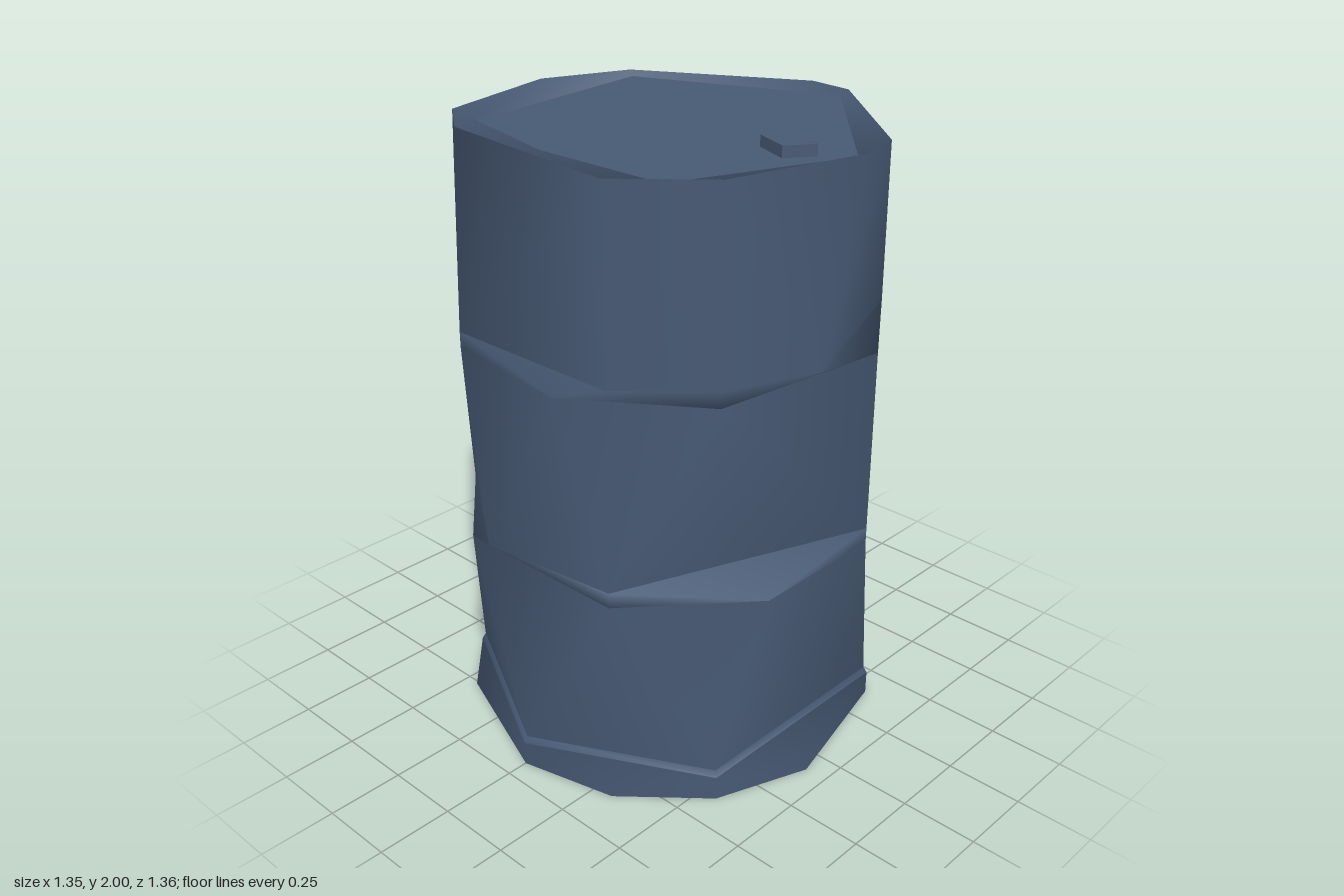
import * as THREE from 'three';

const SIDES = 26;
const STEP = (Math.PI * 2) / SIDES;

// A ring keeps only some of the 26 corners of a round section
const ring = (y, r, corners) => ({ y, r, corners });

// Triangle band zipping two rings together, always along the shorter diagonal;
// shade = [outward, up] sets soft round normals
function band(low, high, shade) {
  const pos = [], nor = [], index = [];
  for (const { y, r, corners } of [low, high]) {
    for (const k of corners) {
      const s = Math.sin(k * STEP), c = Math.cos(k * STEP);
      pos.push(r * s, y, r * c);
      if (shade) {
        const n = new THREE.Vector3(s * shade[0], shade[1], c * shade[0]).normalize();
        nor.push(n.x, n.y, n.z);
      }
    }
  }
  const a = low.corners, b = high.corners;
  const na = a.length, nb = b.length;
  const angle = (list, i) => list[i % list.length] + (i >= list.length ? SIDES : 0);
  let i = 0, j = 0;
  while (i < na || j < nb) {
    const midLow = angle(a, i) + angle(a, i + 1);
    const midHigh = angle(b, j) + angle(b, j + 1);
    const p = i % na, q = na + (j % nb);
    if (j === nb || (i < na && midLow <= midHigh)) {
      i++;
      if (low.r > 0) index.push(p, i % na, q);
    } else {
      j++;
      if (high.r > 0) index.push(p, na + (j % nb), q);
    }
  }
  const g = new THREE.BufferGeometry();
  g.setAttribute('position', new THREE.Float32BufferAttribute(pos, 3));
  g.setIndex(index);
  if (shade) g.setAttribute('normal', new THREE.Float32BufferAttribute(nor, 3));
  else g.computeVertexNormals();
  return g;
}

export function createModel() {
  const group = new THREE.Group();
  const steel = new THREE.MeshStandardMaterial({ color: 0x475974, side: THREE.DoubleSide });
  steel.name = 'blue grey steel';

  const add = (name, geometry) => {
    const mesh = new THREE.Mesh(geometry, steel);
    mesh.name = name;
    group.add(mesh);
  };

  // Battered rings from the foot up to the rim
  const floorRing = ring(0.012, 0.635, [0, 2, 5, 9, 13, 17, 19, 21, 23]);
  const foot = ring(0, 0.68, [0, 2, 4, 6, 9, 11, 13, 15, 17, 19, 21, 23]);
  const footTop = ring(0.08, 0.68, [0, 4, 9, 13, 17, 19, 22]);
  const wallFoot = ring(0.1, 0.668, [0, 4, 9, 13, 17, 19, 22]);
  const lowRibUnder = ring(0.685, 0.668, [2, 5, 8, 13, 15, 18, 21, 24]);
  const lowRibTop = ring(0.735, 0.668, [2, 8, 13, 17, 19, 22, 25]);
  const highRibUnder = ring(1.335, 0.668, [1, 4, 8, 13, 15, 18, 21, 24]);
  const highRibTop = ring(1.385, 0.668, [2, 4, 6, 10, 13, 17, 21, 24]);
  const rim = ring(1.98, 0.668, [2, 4, 7, 8, 12, 13, 17, 19, 22]);
  const lidEdge = ring(1.965, 0.635, [3, 7, 12, 17, 23]);

  const round = [1, 0];
  add('bottom', band(ring(0.012, 0, floorRing.corners), floorRing, [0, -1]));
  add('bottomLip', band(floorRing, foot));
  add('footBand', band(foot, footTop, round));
  add('footShoulder', band(footTop, wallFoot));
  add('lowerWall', band(wallFoot, lowRibUnder, round));
  add('lowerRib', band(lowRibUnder, lowRibTop));
  add('middleWall', band(lowRibTop, highRibUnder, round));
  add('upperRib', band(highRibUnder, highRibTop));
  add('upperWall', band(highRibTop, rim, round));
  add('rimInside', band(rim, lidEdge, [-0.7, 0.7]));
  add('lid', band(lidEdge, ring(1.965, 0, lidEdge.corners), [0, 1]));

  // Bent filler plug on the lid, tapering down towards the back
  const outline = [[0.37, 0.03], [0.4, 0], [0.51, -0.05], [0.5, 0], [0.55, 0], [0.49, 0.08]];
  const shape = new THREE.Shape(outline.map(([x, z]) => new THREE.Vector2(x, -z)));
  const plug = new THREE.ExtrudeGeometry(shape, { depth: 0.035, bevelEnabled: false });
  plug.rotateX(-Math.PI / 2);
  plug.translate(0, 1.965, 0);
  const p = plug.attributes.position;
  for (let i = 0; i < p.count; i++) {
    if (p.getY(i) > 1.97 && p.getZ(i) < -0.02) p.setY(i, 1.985);
  }
  plug.computeVertexNormals();
  add('fillerPlug', plug);

  return group;
}
